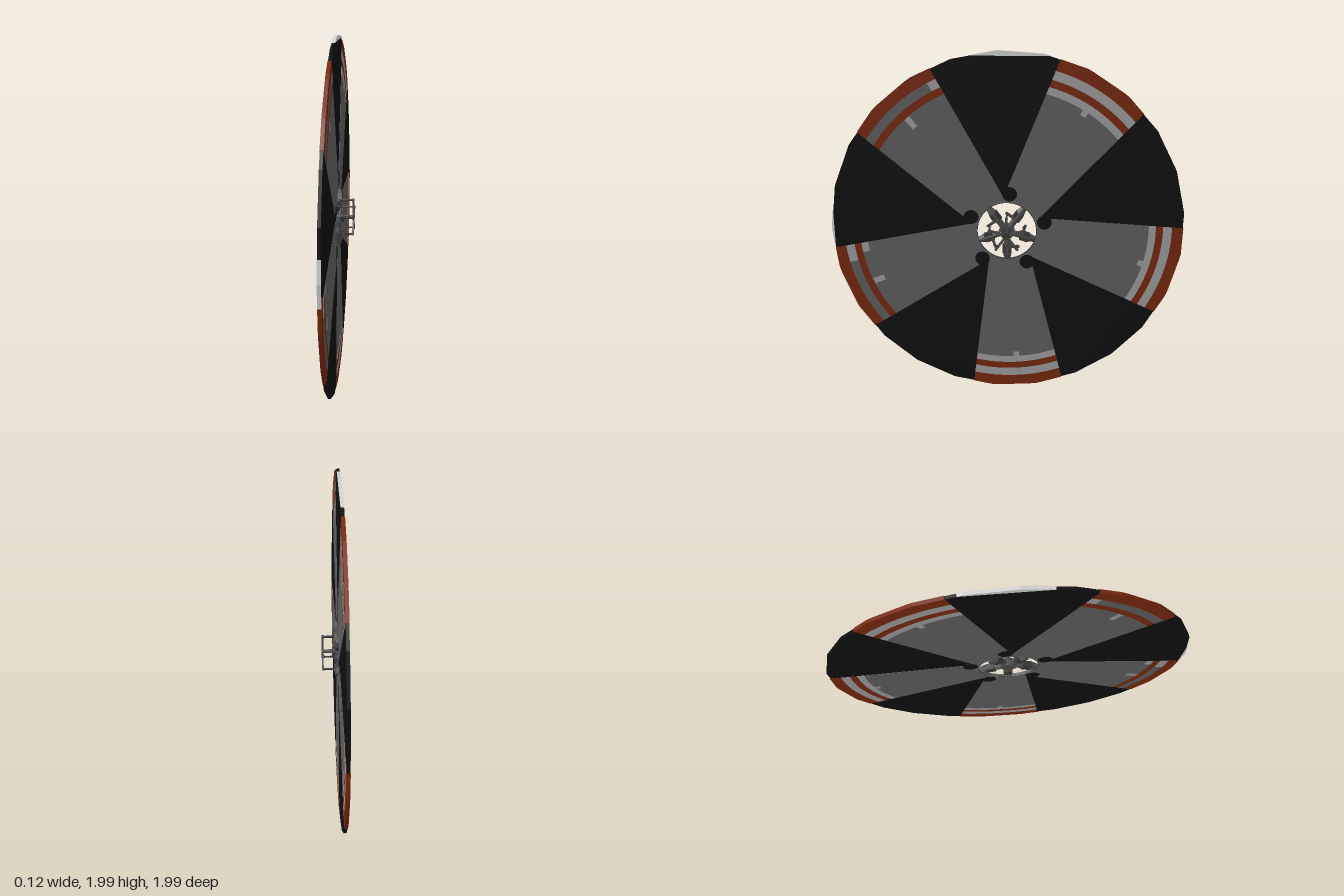
import * as THREE from 'three';

const D = Math.PI / 180;
const mat = (name, color) => Object.assign(new THREE.MeshStandardMaterial({ color }), { name });
const black = mat('black', 0x0f0f0f);
const grey = mat('blade grey', 0x5e5e5e);
const light = mat('light grey', 0x9c9c9c);
const orange = mat('burnt orange', 0x76280f);
const pale = mat('pale edge', 0xd2d2d2);
const metal = mat('hub metal', 0x4c4c4c);
const darkMetal = mat('dark hub metal', 0x383838);

const FACE = -0.044; // middle of the disc along the axle
const STEP = 72;

// point at a clockwise angle from the top
const polar = (r, deg) => new THREE.Vector2(r * Math.sin(deg * D), r * Math.cos(deg * D));

// radius of the 25-sided outline at an angle
function rim(deg) {
  const a = ((((deg + 3) % 14.4) + 14.4) % 14.4) - 7.2;
  return Math.cos(7.2 * D) / Math.cos(a * D);
}

// straight blade edges, as angles at a radius
const edgeA = r => 21.7 - Math.asin(0.0912 / r) / D;
const edgeB = r => 43 + Math.asin(0.08 / r) / D;

export function createModel() {
  const group = new THREE.Group();
  const rotor = new THREE.Group();
  rotor.name = 'rotor';
  rotor.rotation.y = Math.PI / 2; // local z becomes the axle along x
  rotor.position.y = 1;
  group.add(rotor);

  const add = (name, geometry, material, parent = rotor) => {
    const mesh = new THREE.Mesh(geometry, material);
    mesh.name = name;
    parent.add(mesh);
    return mesh;
  };

  const plate = (name, points, material, depth, hole) => {
    const shape = new THREE.Shape(points);
    if (hole) shape.holes.push(new THREE.Path().absarc(0, 0, hole, 0, Math.PI * 2, true));
    const geo = new THREE.ExtrudeGeometry(shape, { depth, bevelEnabled: false, curveSegments: 20 });
    geo.translate(0, 0, FACE - depth / 2);
    return add(name, geo, material);
  };

  // black blurred disc with an open centre
  const outline = [];
  for (let i = 0; i < 25; i++) outline.push(polar(0.997, -3 + 14.4 * i));
  plate('disc', outline, black, 0.016, 0.166);

  // part of a blade between two radii; f0..f1 is the share of its width
  function band(name, blade, r0, r1, material, f0 = 0, f1 = 1, depth = 0.019) {
    const turn = blade * STEP;
    const at = (r, f) => {
      const a = edgeA(r), b = edgeB(r);
      return a + (b - a) * f + turn;
    };
    const points = [], n = 14;
    for (let i = 0; i <= n; i++) {
      const deg = at(r1, f0 + (f1 - f0) * i / n);
      points.push(polar(r1 >= 1 ? rim(deg) : r1, deg));
    }
    for (let i = n; i >= 0; i--) points.push(polar(r0, at(r0, f0 + (f1 - f0) * i / n)));
    plate(name, points, material, depth);
  }

  for (let k = 0; k < 5; k++) {
    const worn = k >= 3; // two blades have mostly grey stripes
    band('blade', k, 0.168, 0.80, grey);
    band('innerStripe', k, 0.80, 0.84, worn ? grey : light);
    band('orangeStripe', k, 0.84, 0.88, orange);
    band('outerStripe', k, 0.88, 0.93, worn ? grey : light);
    band('orangeTip', k, 0.93, 1, orange);
    if (worn) {
      band('stripeEnd', k, 0.88, 0.93, light, k === 3 ? 0.8 : 0.9, 1, 0.0196);
      if (k === 3) band('stripeEnd', k, 0.80, 0.84, light, 0.88, 1, 0.0196);
    }
    // small tick in the middle of the stripe
    band('tick', k, 0.77, 0.838, light, 0.46, 0.53, 0.0196);

    // rounded black notch at the blade root
    const notch = new THREE.CylinderGeometry(0.042, 0.042, 0.0198, 16).rotateX(Math.PI / 2);
    const p = polar(0.218, 4 + k * STEP);
    add('rootNotch', notch, black).position.set(p.x, p.y, FACE);
  }

  // pale slivers at the top and one side of the rim
  const v = (x, y) => new THREE.Vector2(x, y);
  plate('topSliver', [v(-0.21, 0.97), v(-0.052, 0.9986), v(0.198, 0.98), v(0.227, 0.97)], pale, 0.0186);
  plate('sideSliver', [v(-0.985, -0.118), v(-1, 0.0105), v(-0.985, 0.12)], pale, 0.0186);

  // hub
  const hub = new THREE.Group();
  hub.name = 'hub';
  rotor.add(hub);
  const axle = (name, r, z0, z1, material, sides = 12) => {
    const geo = new THREE.CylinderGeometry(r, r, z1 - z0, sides).rotateX(Math.PI / 2);
    const mesh = add(name, geo, material, hub);
    mesh.position.z = (z0 + z1) / 2;
    return mesh;
  };
  axle('hubCore', 0.045, -0.054, -0.022, metal);
  axle('hubCap', 0.026, -0.022, -0.005, darkMetal);
  axle('shaft', 0.011, -0.01, 0.052, metal, 8);
  axle('spiderCentre', 0.022, 0.044, 0.055, darkMetal, 10);

  for (let k = 0; k < 5; k++) {
    // blade grip
    const grip = new THREE.Group();
    grip.name = 'bladeGrip';
    grip.rotation.z = -(35 + k * STEP) * D;
    hub.add(grip);
    add('gripArm', new THREE.CylinderGeometry(0.018, 0.018, 0.11, 8), metal, grip).position.set(0, 0.085, -0.036);
    add('gripBlock', new THREE.BoxGeometry(0.05, 0.05, 0.034), darkMetal, grip).position.set(0, 0.105, -0.038);
    add('gripEnd', new THREE.CylinderGeometry(0.017, 0.026, 0.035, 8), metal, grip).position.set(0, 0.147, -0.038);
    add('pitchHorn', new THREE.BoxGeometry(0.06, 0.014, 0.012), metal, grip).position.set(-0.04, 0.09, -0.022);

    // spider arm and pitch link
    const arm = new THREE.Group();
    arm.name = 'pitchControl';
    arm.rotation.z = -k * STEP * D;
    hub.add(arm);
    add('spiderArm', new THREE.BoxGeometry(0.013, 0.1, 0.009), metal, arm).position.set(0, 0.055, 0.049);
    const link = new THREE.CylinderGeometry(0.005, 0.005, 0.075, 6).rotateX(Math.PI / 2);
    add('pitchLink', link, darkMetal, arm).position.set(0, 0.1, 0.014);
    add('linkEnd', new THREE.SphereGeometry(0.009, 8, 6), metal, arm).position.set(0, 0.1, 0.046);
  }
  return group;
}
